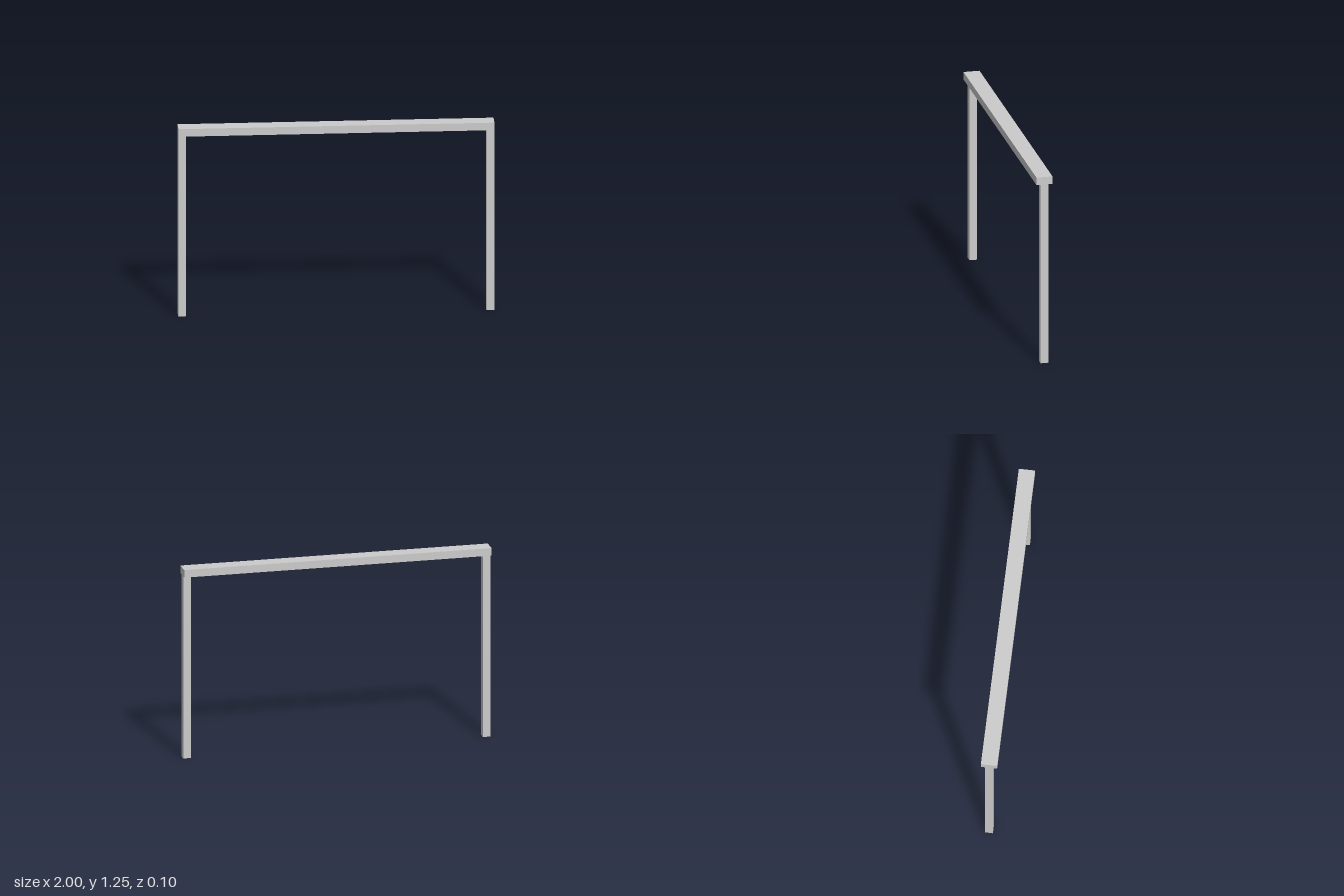
import * as THREE from 'three';

const SPAN = 2, POST = 0.05, POST_HEIGHT = 1.2;
const BEAM_HEIGHT = 0.05, BEAM_DEPTH = 0.104;

export function createModel() {
  const group = new THREE.Group();
  group.name = 'beamFrame';
  const material = new THREE.MeshStandardMaterial({ color: 0xcccccc });

  const addBox = (name, width, height, depth, x, bottom) => {
    const mesh = new THREE.Mesh(new THREE.BoxGeometry(width, height, depth), material);
    mesh.name = name;
    mesh.position.set(x, bottom + height / 2, 0);
    group.add(mesh);
  };

  // Square posts, flush with the ends of the beam
  for (const [name, side] of [['leftPost', 1], ['rightPost', -1]]) {
    addBox(name, POST, POST_HEIGHT, POST, side * (SPAN - POST) / 2, 0);
  }

  // Wider crossbeam resting on the posts
  addBox('crossbeam', SPAN, BEAM_HEIGHT, BEAM_DEPTH, 0, POST_HEIGHT);

  return group;
}
